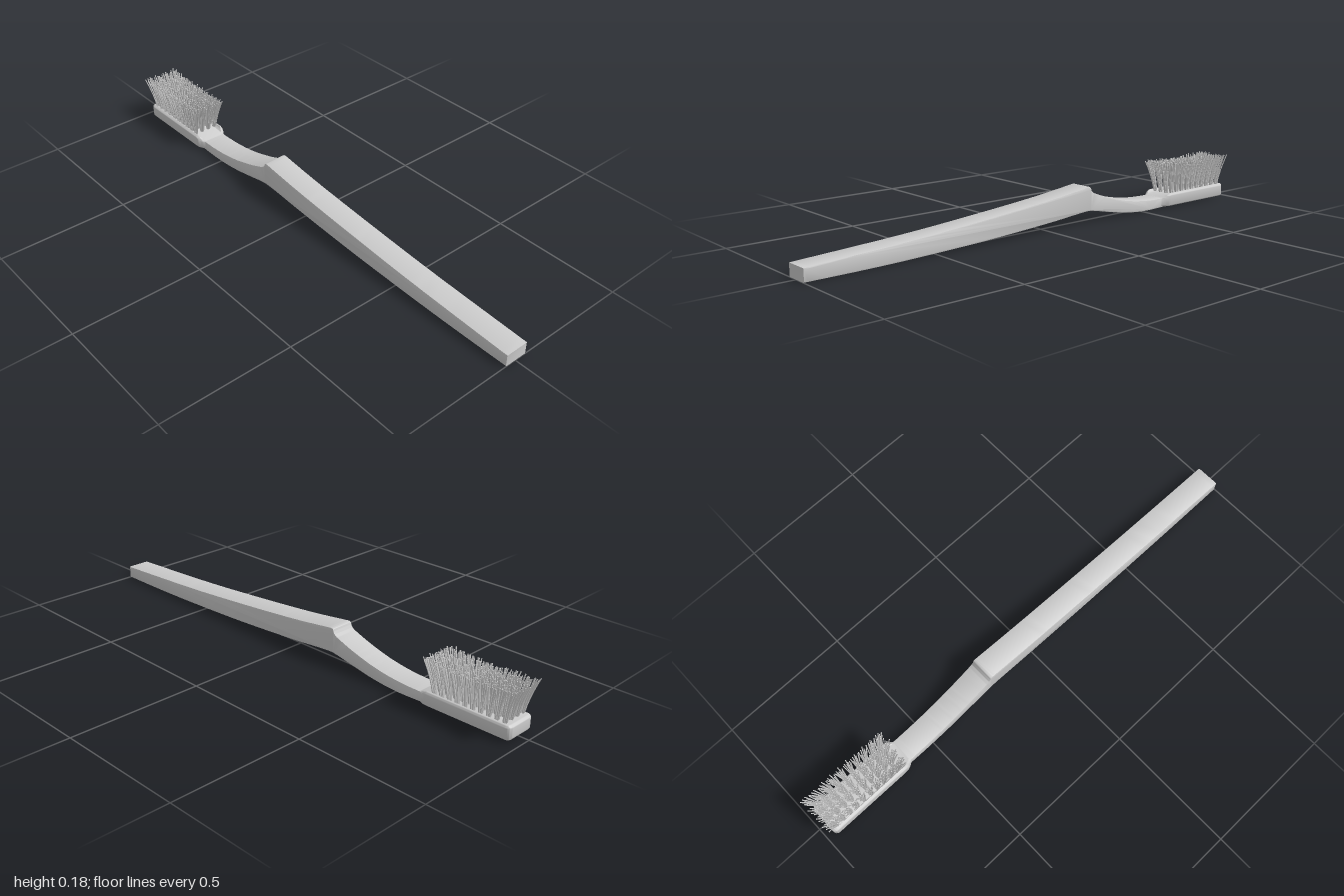
import * as THREE from 'three';
import { mergeGeometries, toCreasedNormals } from 'three/addons/utils/BufferGeometryUtils.js';

const CX = 0.003; // centre line of handle and head
const grey = new THREE.MeshStandardMaterial({ color: 0xcccccc });
const vectors = (points) => points.map(([a, b]) => new THREE.Vector2(a, b));

function part(name, geometry) {
  const mesh = new THREE.Mesh(geometry, grey);
  mesh.name = name;
  return mesh;
}

// Side profile (z, y) swept across the width: straight grip, thumb step, curved neck
function handle() {
  const width = 0.094, bevel = 0.004;
  const shape = new THREE.Shape();
  shape.moveTo(1, 0);
  shape.lineTo(1, 0.047);
  shape.splineThru(vectors([[0.6, 0.067], [0.3, 0.089], [0, 0.116], [-0.195, 0.14]]));
  shape.splineThru(vectors([[-0.208, 0.138], [-0.216, 0.122], [-0.228, 0.113]]));
  shape.splineThru(vectors([[-0.3, 0.087], [-0.4, 0.06], [-0.5, 0.045], [-0.6, 0.041], [-0.66, 0.044]]));
  shape.lineTo(-0.66, 0.007);
  shape.splineThru(vectors([[-0.6, 0.003], [-0.5, 0.002], [-0.4, 0.011], [-0.3, 0.029],
    [-0.23, 0.043], [-0.18, 0.046], [0, 0.031], [0.3, 0.013], [0.6, 0.003], [0.8, 0], [1, 0]]));
  const geometry = new THREE.ExtrudeGeometry(shape, {
    depth: width - 2 * bevel, bevelThickness: bevel, bevelSize: bevel, bevelOffset: -bevel,
    bevelSegments: 2, curveSegments: 8,
  });
  geometry.translate(0, 0, bevel - width / 2).rotateY(-Math.PI / 2).translate(CX, 0, 0);
  return part('handle', toCreasedNormals(geometry, 0.6));
}

// Head plate: plan outline with rounded corners, its top sloping down to the neck
function head() {
  const h = 0.053, w = 0.063, bevel = 0.01;
  const shape = new THREE.Shape();
  shape.moveTo(-0.046, 0.6);
  shape.lineTo(0.046, 0.6);
  shape.bezierCurveTo(0.05, 0.615, w, 0.62, w, 0.645);
  shape.lineTo(w, 0.95);
  shape.quadraticCurveTo(w, 0.97, w - 0.02, 0.97);
  shape.lineTo(0.02 - w, 0.97);
  shape.quadraticCurveTo(-w, 0.97, -w, 0.95);
  shape.lineTo(-w, 0.645);
  shape.bezierCurveTo(-w, 0.62, -0.05, 0.615, -0.046, 0.6);
  const geometry = new THREE.ExtrudeGeometry(shape, {
    depth: h - 2 * bevel, bevelThickness: bevel, bevelSize: bevel, bevelOffset: -bevel,
    bevelSegments: 4, curveSegments: 8,
  });
  geometry.translate(0, 0, bevel).rotateX(-Math.PI / 2).translate(CX, 0.005, 0);
  const p = geometry.attributes.position;
  for (let i = 0; i < p.count; i++) {
    const slope = THREE.MathUtils.smoothstep(p.getZ(i), -0.645, -0.605);
    p.setY(i, p.getY(i) - 0.016 * slope * (p.getY(i) - 0.005) / h);
  }
  return part('head', toCreasedNormals(geometry, 0.8));
}

// Rows of tufts, each a bundle of thin bristles that fan outwards
function bristles() {
  let seed = 7;
  const random = () => (seed = (seed * 16807) % 2147483647) / 2147483647;
  const rows = 10, columns = 4, perTuft = 13;
  const strands = [];
  for (let r = 0; r < rows; r++) {
    for (let c = 0; c < columns; c++) {
      const u = (c / (columns - 1)) * 2 - 1, v = (r / (rows - 1)) * 2 - 1;
      const x = CX + u * 0.045, z = -0.803 + v * 0.137;
      for (let k = 0; k < perTuft; k++) {
        const angle = k * 2.4, spread = Math.sqrt((k + 0.3) / perTuft);
        const dx = Math.cos(angle) * spread, dz = Math.sin(angle) * spread;
        const reach = 0.015 + 0.007 * random();
        const base = new THREE.Vector3(x + dx * 0.007, 0.05, z + dz * 0.007);
        const tip = new THREE.Vector3(
          THREE.MathUtils.clamp(x + dx * reach + u * 0.013, -0.083, 0.083),
          0.163 + 0.012 * random() + 0.006 * v * v,
          Math.max(z + dz * reach + v * 0.026, -0.998));
        const bend = base.clone().lerp(tip, 0.25);
        bend.y = 0.11;
        const path = new THREE.QuadraticBezierCurve3(base, bend, tip);
        strands.push(new THREE.TubeGeometry(path, 4, 0.0021, 5));
        // Flat tip cap
        const cap = new THREE.CircleGeometry(0.0021, 5).rotateX(-Math.PI / 2);
        strands.push(cap.translate(tip.x, tip.y, tip.z));
      }
    }
  }
  return part('bristles', mergeGeometries(strands));
}

export function createModel() {
  const model = new THREE.Group();
  model.name = 'toothbrush';
  model.add(handle(), head(), bristles());
  return model;
}
